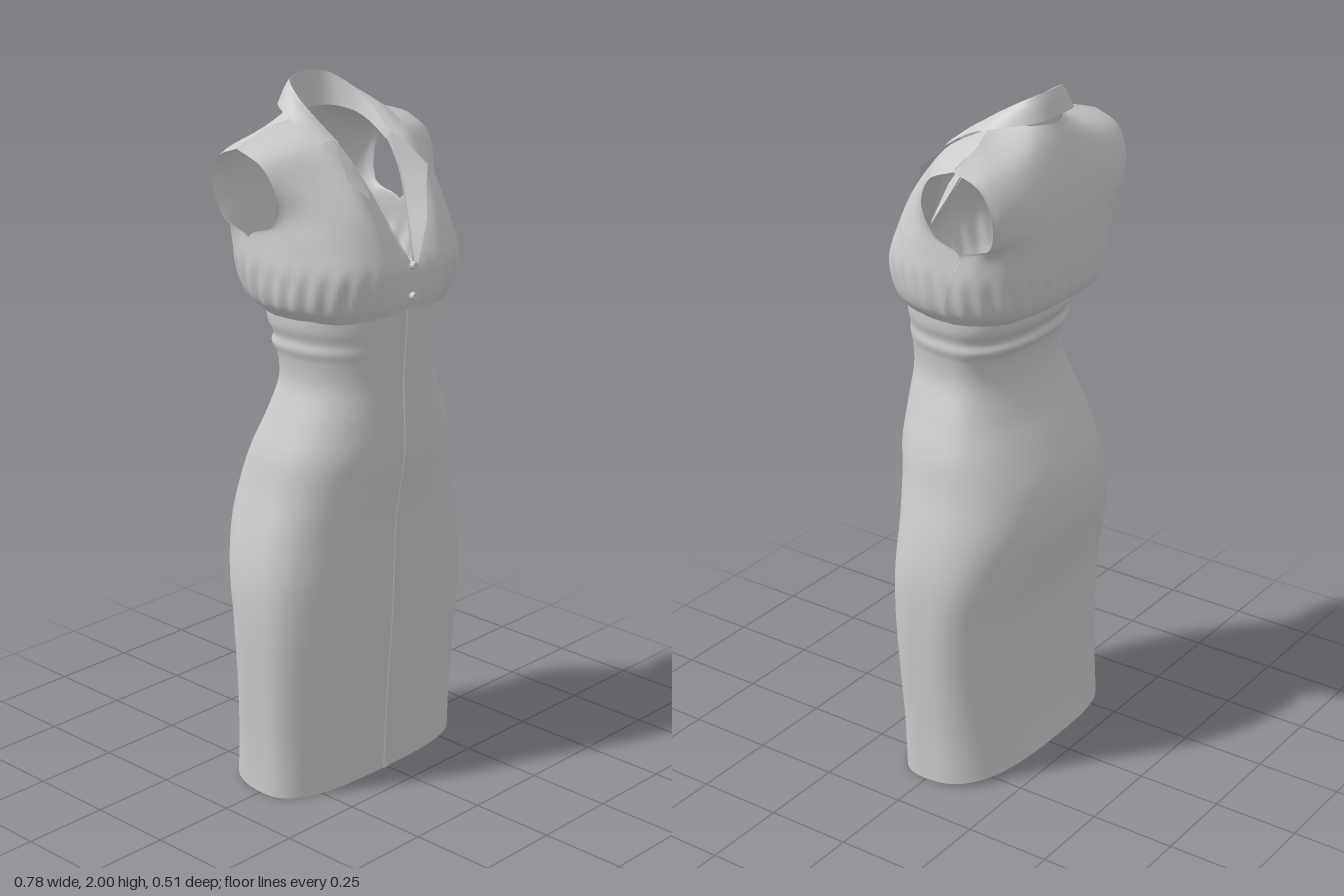
import * as THREE from 'three';
import { mergeVertices } from 'three/addons/utils/BufferGeometryUtils.js';

const material = new THREE.MeshStandardMaterial({ color: 0xcccccc, side: THREE.DoubleSide, roughness: 0.8 });
const V = (p) => new THREE.Vector3(...p);
const flip = (p) => [-p[0], p[1], p[2]];

// Smooth surface through rows of control points; tweak can shift each vertex
function surface(rows, nu, nv, tweak) {
  const lines = rows.map((r) => {
    const curve = new THREE.CatmullRomCurve3(r.map(V));
    return Array.from({ length: nu + 1 }, (_, i) => curve.getPoint(i / nu));
  });
  const pos = [], index = [];
  for (let i = 0; i <= nu; i++) {
    const column = new THREE.CatmullRomCurve3(lines.map((l) => l[i]));
    for (let j = 0; j <= nv; j++) {
      const p = column.getPoint(j / nv);
      if (tweak) tweak(p);
      pos.push(p.x, p.y, p.z);
      if (i < nu && j < nv) {
        const a = i * (nv + 1) + j, b = a + nv + 1;
        index.push(a, b, a + 1, b, b + 1, a + 1);
      }
    }
  }
  let g = new THREE.BufferGeometry();
  g.setAttribute('position', new THREE.Float32BufferAttribute(pos, 3));
  g.setIndex(index);
  g = mergeVertices(g, 1e-5);
  g.computeVertexNormals();
  return g;
}

function add(group, name, geometry) {
  const mesh = new THREE.Mesh(geometry, material);
  mesh.name = name;
  group.add(mesh);
  return mesh;
}

// Skirt sections: height, half width, front z, back z, squareness
const SKIRT = [
  [0.005, 0.365, 0.15, -0.2, 2.9], [0.15, 0.368, 0.155, -0.188, 2.9], [0.3, 0.377, 0.165, -0.178, 2.9],
  [0.5, 0.388, 0.18, -0.186, 2.8], [0.65, 0.385, 0.185, -0.22, 2.7], [0.78, 0.362, 0.19, -0.25, 2.5],
  [0.9, 0.33, 0.208, -0.24, 2.4], [1.0, 0.308, 0.222, -0.2, 2.4], [1.1, 0.27, 0.22, -0.152, 2.4],
  [1.2, 0.235, 0.216, -0.12, 2.4], [1.27, 0.238, 0.22, -0.125, 2.4], [1.3, 0.246, 0.222, -0.15, 2.4],
  [1.325, 0.243, 0.224, -0.142, 2.4], [1.36, 0.253, 0.226, -0.165, 2.4], [1.41, 0.256, 0.228, -0.168, 2.4],
];

function skirtRing([y, w, zf, zb, n]) {
  const ring = [], count = 64;
  for (let i = 0; i <= count; i++) {
    const a = -Math.PI + (i / count) * Math.PI * 2;
    const s = Math.sin(a), c = Math.cos(a), e = 2 / n;
    const lift = 0.025 * Math.max(0, -c) * Math.max(0, 1 - y / 0.2); // hem rises at the back
    ring.push([w * Math.sign(s) * Math.abs(s) ** e, y + lift, (c > 0 ? zf : zb) * Math.abs(c) ** e]);
  }
  return ring;
}

// Bodice front, one half: each row runs from the opening to the side or armhole
const FRONT = [
  [[0, 1.4, 0.226], [0.1, 1.4, 0.225], [0.2, 1.39, 0.17], [0.25, 1.39, 0.06], [0.258, 1.39, -0.03]],
  [[0, 1.44, 0.236], [0.11, 1.44, 0.238], [0.22, 1.43, 0.185], [0.283, 1.43, 0.07], [0.29, 1.43, -0.03]],
  [[0, 1.52, 0.235], [0.12, 1.52, 0.248], [0.23, 1.52, 0.2], [0.295, 1.52, 0.08], [0.305, 1.52, -0.05]],
  [[0.02, 1.58, 0.208], [0.12, 1.6, 0.225], [0.22, 1.6, 0.18], [0.285, 1.6, 0.08], [0.3, 1.605, -0.085]],
  [[0.045, 1.66, 0.168], [0.13, 1.68, 0.188], [0.22, 1.68, 0.14], [0.28, 1.67, 0.06], [0.298, 1.65, 0]],
  [[0.075, 1.77, 0.11], [0.14, 1.77, 0.125], [0.22, 1.76, 0.09], [0.29, 1.75, 0.045], [0.31, 1.73, 0.03]],
  [[0.1, 1.86, 0.02], [0.16, 1.86, 0.03], [0.23, 1.845, 0.02], [0.3, 1.825, 0], [0.325, 1.81, -0.005]],
  [[0.11, 1.915, -0.07], [0.17, 1.9, -0.08], [0.24, 1.882, -0.09], [0.305, 1.862, -0.09], [0.335, 1.85, -0.09]],
];

// Bodice back, one half: each row runs from the spine to the side or armhole
const BACK = [
  [[0, 1.39, -0.17], [0.1, 1.39, -0.165], [0.19, 1.39, -0.14], [0.24, 1.39, -0.08], [0.258, 1.39, -0.03]],
  [[0, 1.43, -0.225], [0.12, 1.43, -0.222], [0.22, 1.43, -0.18], [0.275, 1.43, -0.1], [0.29, 1.43, -0.03]],
  [[0, 1.52, -0.245], [0.13, 1.52, -0.245], [0.24, 1.52, -0.2], [0.295, 1.52, -0.12], [0.305, 1.52, -0.05]],
  [[0, 1.61, -0.252], [0.13, 1.61, -0.25], [0.24, 1.61, -0.215], [0.29, 1.605, -0.15], [0.3, 1.605, -0.085]],
  [[0, 1.68, -0.25], [0.13, 1.68, -0.25], [0.23, 1.68, -0.238], [0.285, 1.66, -0.21], [0.302, 1.645, -0.18]],
  [[0, 1.77, -0.235], [0.13, 1.77, -0.235], [0.23, 1.765, -0.228], [0.3, 1.75, -0.215], [0.32, 1.74, -0.2]],
  [[0, 1.85, -0.208], [0.12, 1.85, -0.2], [0.22, 1.84, -0.185], [0.3, 1.825, -0.175], [0.33, 1.815, -0.168]],
  [[0, 1.91, -0.18], [0.07, 1.915, -0.155], [0.12, 1.913, -0.072], [0.24, 1.882, -0.09], [0.335, 1.85, -0.09]],
];

// Gathers fading out above the waist seam
function gather(p) {
  const t = (p.y - 1.39) / 0.16;
  if (t <= 0 || t >= 1) return;
  const k = 1 + 0.014 * Math.sin(Math.PI * t) * Math.sin(Math.abs(Math.atan2(p.x, p.z)) * 34 + t * 3);
  p.x *= k;
  p.z *= k;
}

// Collar lines from back centre to front: neck seam, fold, outer edge
const COLLAR = [
  [[0, 1.9, -0.165], [0.075, 1.9, -0.14], [0.1, 1.89, -0.08], [0.1, 1.87, -0.02], [0.095, 1.83, 0.05]],
  [[0, 2.0, -0.172], [0.07, 1.993, -0.155], [0.106, 1.957, -0.09], [0.112, 1.912, -0.02], [0.1, 1.852, 0.056]],
  [[0, 1.935, -0.195], [0.09, 1.93, -0.178], [0.152, 1.918, -0.1], [0.175, 1.9, -0.03], [0.175, 1.852, 0.05]],
];

// Lapel: fold line and outer edge, from notch to first button
const LAPEL_FOLD = [[0.1, 1.85, 0.055], [0.085, 1.8, 0.095], [0.07, 1.74, 0.135], [0.04, 1.64, 0.185], [0.004, 1.53, 0.24]];
const LAPEL_EDGE = [[0.125, 1.83, 0.08], [0.155, 1.765, 0.148], [0.112, 1.72, 0.182], [0.072, 1.64, 0.222], [0.012, 1.53, 0.245]];

export function createModel() {
  const dress = new THREE.Group();
  dress.name = 'dress';

  add(dress, 'skirt', surface(SKIRT.map(skirtRing), 64, 84));

  // Raised strip down the centre front
  const strip = SKIRT.map(([y, , z]) => [[-0.014, y, z - 0.002], [-0.009, y, z + 0.003], [0.009, y, z + 0.004], [0.011, y, z - 0.002]]);
  add(dress, 'frontPlacket', surface(strip, 6, 60));

  add(dress, 'leftBodiceFront', surface(FRONT, 48, 56, gather));
  add(dress, 'rightBodiceFront', surface(FRONT.map((r) => r.map(flip).reverse()), 48, 56, gather));

  const back = BACK.map((r) => [...r.slice(1).reverse(), ...r.map(flip)]);
  add(dress, 'bodiceBack', surface(back, 96, 56, gather));

  // Collar stand and fall share the fold as a crisp edge
  const [seam, fold, edge] = COLLAR.map((r) => [...r.slice(1).reverse(), ...r.map(flip)]);
  add(dress, 'collarStand', surface([seam, fold], 48, 6));
  const roll = fold.map((p, i) => [p[0] * 0.55 + edge[i][0] * 0.45, p[1] * 0.5 + edge[i][1] * 0.5 + 0.008, p[2] * 0.55 + edge[i][2] * 0.45]);
  add(dress, 'collarFall', surface([fold, roll, edge], 48, 10));

  // Lapels, built from straight segments so the tip stays pointed
  for (const side of [1, -1]) {
    const place = (p) => (side > 0 ? p : flip(p));
    const lapel = new THREE.Group();
    lapel.name = side > 0 ? 'leftLapel' : 'rightLapel';
    for (let i = 0; i < 4; i++) {
      const rows = [i + 1, i].map((k) => {
        const row = [place(LAPEL_FOLD[k]), place(LAPEL_EDGE[k])];
        return side > 0 ? row : row.reverse();
      });
      add(lapel, 'lapelSection', surface(rows, 4, 4));
    }
    dress.add(lapel);
  }

  // Two buttons under the lapels
  for (const y of [1.53, 1.445]) {
    const button = add(dress, 'button', new THREE.CylinderGeometry(0.009, 0.012, 0.012, 20));
    button.rotation.x = Math.PI / 2;
    button.position.set(-0.004, y, 0.244);
  }
  return dress;
}
